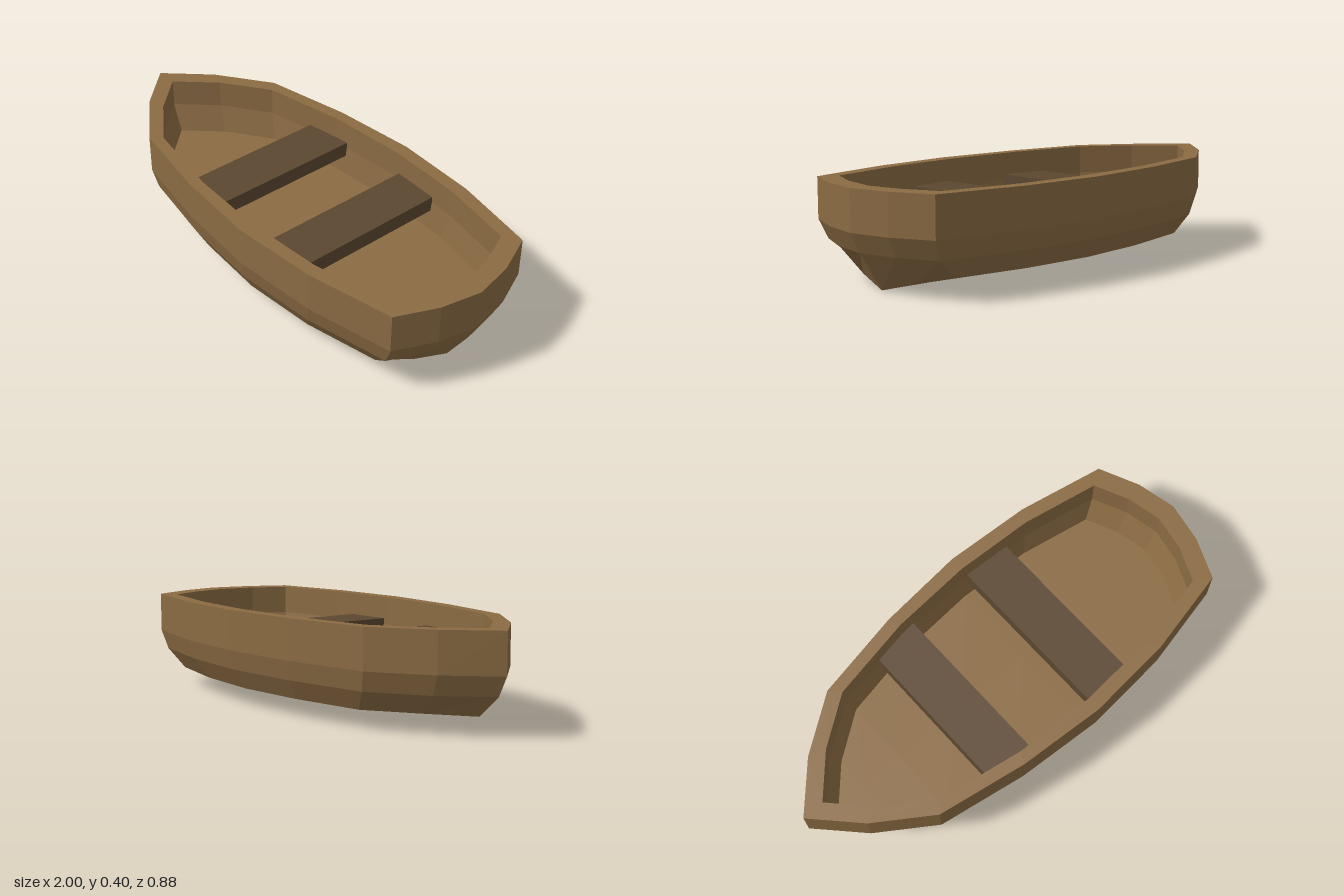
import * as THREE from 'three';

// Half outlines [x, z] from the bow to the middle of the stern
const OUTER = [[-1, 0], [-0.83, 0.18], [-0.6, 0.34], [-0.22, 0.41], [0.15, 0.44], [0.52, 0.415], [0.89, 0.34], [0.965, 0.17], [1, 0]];
const INNER = [[-0.905, 0], [-0.76, 0.155], [-0.56, 0.295], [-0.2, 0.36], [0.15, 0.38], [0.49, 0.36], [0.82, 0.295], [0.885, 0.15], [0.915, 0]];

// Closed ring: scaled outline at a height (a number or a rule), mirrored in z
function ring(half, scaleX, scaleZ, height) {
  const mirrored = half.slice(1, -1).reverse().map(([x, z]) => [x, -z]);
  return [...half, ...mirrored].map(([x, z], i) =>
    new THREE.Vector3(x * scaleX, typeof height === 'function' ? height(x * scaleX, i) : height, z * scaleZ));
}

// Skin consecutive rings, dropping collapsed triangles
function loft(rings) {
  const positions = [];
  const tri = new THREE.Triangle();
  const add = (a, b, c) => {
    if (tri.set(a, b, c).getArea() > 1e-6) for (const p of [a, b, c]) positions.push(p.x, p.y, p.z);
  };
  for (let r = 0; r < rings.length - 1; r++) {
    const low = rings[r], high = rings[r + 1], n = low.length;
    for (let j = 0; j < n; j++) {
      const k = (j + 1) % n;
      add(low[j], low[k], high[k]);
      add(low[j], high[k], high[j]);
    }
  }
  const geometry = new THREE.BufferGeometry();
  geometry.setAttribute('position', new THREE.Float32BufferAttribute(positions, 3));
  geometry.computeVertexNormals();
  return geometry;
}

// Half width of the inside at x
function insideWidth(x) {
  const i = INNER.findIndex((p) => p[0] > x);
  const [x0, z0] = INNER[i - 1], [x1, z1] = INNER[i];
  return THREE.MathUtils.lerp(z0, z1, (x - x0) / (x1 - x0));
}

export function createModel() {
  const boat = new THREE.Group();
  boat.name = 'rowingBoat';
  const hullWood = new THREE.MeshStandardMaterial({ color: 0x8b6b43, flatShading: true });
  const seatWood = new THREE.MeshStandardMaterial({ color: 0x5c4730, flatShading: true });

  // Keel rises towards the bow; the chine dips to the keel at the stern
  const keelY = (x) => (x < -0.19 ? 0.068 * (-0.19 - x) / 0.67 : 0);
  const chineY = (x, i) => {
    if (i === 0) return 0.068;
    if (i === 8) return 0;
    return i === 7 || i === 9 ? 0.038 : 0.075;
  };

  // Hull: bottom, sides, gunwale, inner walls and floor in one skin
  const hull = new THREE.Mesh(loft([
    ring(OUTER, 0.86, 0, keelY),
    ring(OUTER, 0.86, 0.86, chineY),
    ring(OUTER, 0.96, 0.96, 0.155),
    ring(OUTER, 1, 1, 0.235),
    ring(OUTER, 1, 1, 0.4),
    ring(INNER, 1, 1, 0.4),
    ring(INNER, 1, 1, 0.28),
    ring(INNER, 0.95, 0.95, 0.16),
    ring(INNER, 0.95, 0, 0.16),
  ]), hullWood);
  hull.name = 'hull';
  boat.add(hull);

  // Benches, their ends cut to follow the walls
  for (const [name, x] of [['frontBench', -0.24], ['rearBench', 0.28]]) {
    const geometry = new THREE.BoxGeometry(0.21, 0.065, 2).translate(x, 0.273, 0);
    const p = geometry.attributes.position;
    for (let i = 0; i < p.count; i++) p.setZ(i, Math.sign(p.getZ(i)) * (insideWidth(p.getX(i)) + 0.003));
    geometry.computeVertexNormals();
    const bench = new THREE.Mesh(geometry, seatWood);
    bench.name = name;
    boat.add(bench);
  }
  return boat;
}
